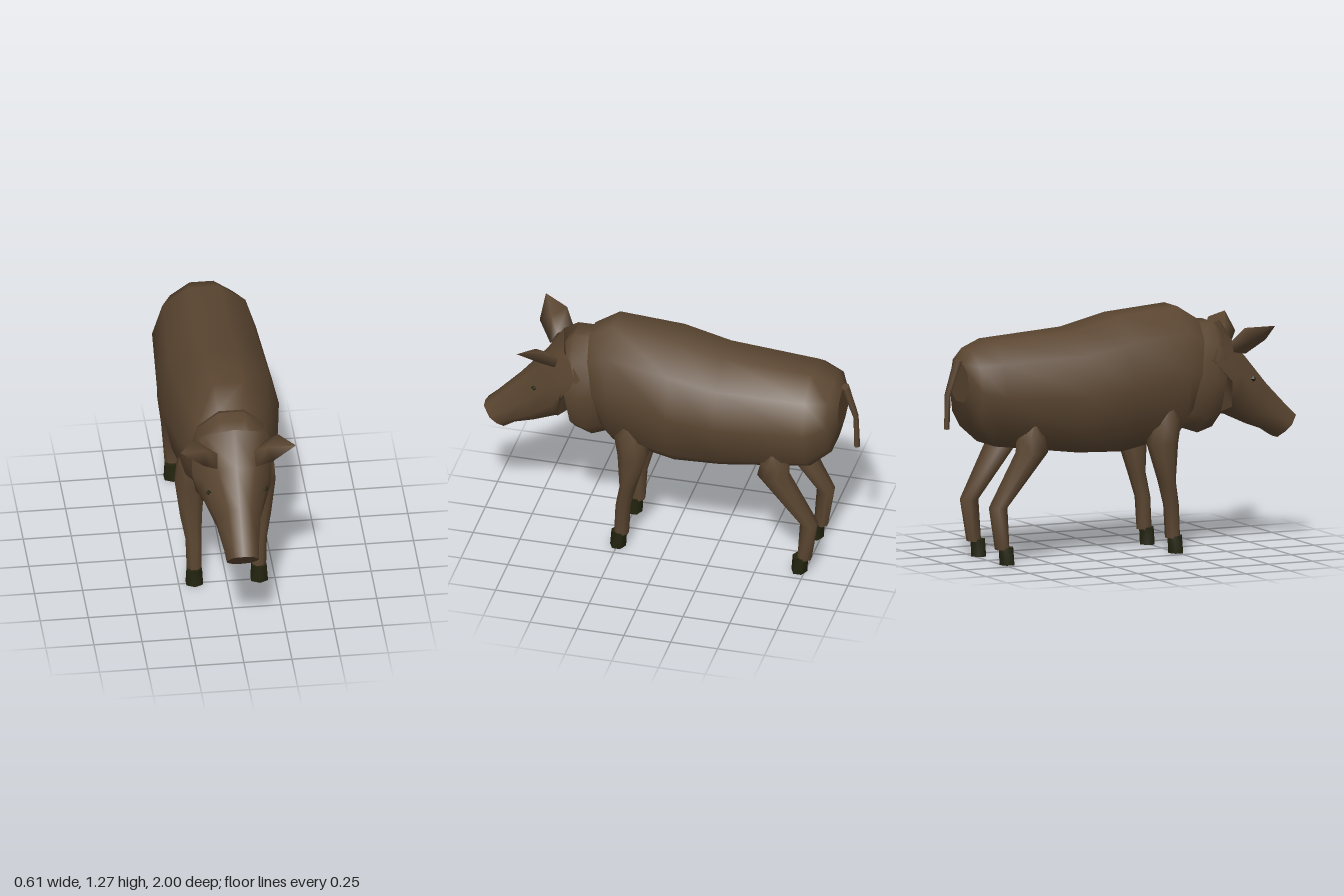
import * as THREE from 'three';

const hide = new THREE.MeshStandardMaterial({ color: 0x5b4631 });
hide.name = 'brown hide';
const horn = new THREE.MeshStandardMaterial({ color: 0x23230f });
horn.name = 'dark horn';

// Skins a list of equal-length rings; end caps get their own vertices so the rims stay sharp.
function loft(name, rings, material) {
  const n = rings[0].length;
  const pos = rings.flat(2);
  let idx = [];
  for (let r = 0; r < rings.length - 1; r++) {
    for (let i = 0; i < n; i++) {
      const a = r * n + i, b = r * n + (i + 1) % n;
      idx.push(a, b, b + n, a, b + n, a + n);
    }
  }
  for (const end of [0, rings.length - 1]) {
    const ring = rings[end], base = pos.length / 3;
    const mid = [0, 1, 2].map(k => ring.reduce((s, p) => s + p[k], 0) / n);
    pos.push(...ring.flat(), ...mid);
    for (let i = 0; i < n; i++) {
      const a = base + i, b = base + (i + 1) % n;
      idx.push(...(end === 0 ? [b, a, base + n] : [a, b, base + n]));
    }
  }
  // Turn the faces outward if the rings were wound the other way.
  const P = i => new THREE.Vector3().fromArray(pos, i * 3);
  let volume = 0;
  for (let i = 0; i < idx.length; i += 3) {
    volume += P(idx[i]).dot(P(idx[i + 1]).cross(P(idx[i + 2])));
  }
  if (volume < 0) idx = idx.reverse();
  const geo = new THREE.BufferGeometry();
  geo.setAttribute('position', new THREE.Float32BufferAttribute(pos, 3));
  geo.setIndex(idx);
  geo.computeVertexNormals();
  const mesh = new THREE.Mesh(geo, material);
  mesh.name = name;
  return mesh;
}

// Completes a half ring (points with x >= 0) by mirroring it.
const mirrorRing = half => [
  ...half,
  ...half.filter(p => p[0] > 0).reverse().map(([x, y, z]) => [-x, y, z]),
];

// Ten-sided trunk section between a top and a bottom point.
const section = ([topY, topZ, botY, botZ, w]) => mirrorRing(
  [[0.3, 1], [0.8, 0.82], [1, 0.5], [0.83, 0.16], [0.4, 0]].map(([x, t]) =>
    [x * w, botY + (topY - botY) * t, botZ + (topZ - botZ) * t]));

// Level limb section from its extents: y, front z, back z, inner x, outer x.
const limbRing = (side, sides) => ([y, zf, zb, xi, xo]) =>
  Array.from({ length: sides }, (_, i) => {
    const a = (i + 0.5) / sides * Math.PI * 2;
    return [side * ((xi + xo) / 2 + (xo - xi) / 2 * Math.cos(a) / Math.cos(Math.PI / sides)),
      y, (zf + zb) / 2 + (zf - zb) / 2 * Math.sin(a)];
  });

export function createModel() {
  const model = new THREE.Group();
  model.name = 'wildPig';

  // Trunk
  model.add(loft('body', [
    [1.19, 0.43, 0.66, 0.33, 0.215],
    [1.27, 0.30, 0.60, 0.29, 0.26],
    [1.24, -0.04, 0.54, -0.04, 0.305],
    [1.18, -0.29, 0.55, -0.29, 0.30],
    [1.15, -0.76, 0.61, -0.76, 0.27],
    [1.11, -0.87, 0.70, -0.87, 0.205],
    [1.04, -0.91, 0.84, -0.91, 0.11],
  ].map(section), hide));

  // Neck
  model.add(loft('neck', [
    [1.18, 0.36, 0.64, 0.32, 0.21],
    [1.175, 0.51, 0.605, 0.41, 0.22],
    [1.12, 0.56, 0.63, 0.50, 0.19],
  ].map(section), hide));

  // Head, from the ruff to the flat snout
  model.add(loft('head', [
    [[0, 1.17, 0.58], [0.15, 1.12, 0.54], [0.205, 1.0, 0.44], [0.215, 0.88, 0.55], [0.17, 0.74, 0.57], [0, 0.68, 0.55]],
    [[0, 1.0, 0.69], [0.1, 0.99, 0.675], [0.17, 0.9, 0.63], [0.18, 0.8, 0.6], [0.12, 0.71, 0.59], [0, 0.68, 0.6]],
    [[0, 0.84, 0.83], [0.06, 0.83, 0.82], [0.115, 0.75, 0.77], [0.11, 0.68, 0.73], [0.07, 0.63, 0.72], [0, 0.62, 0.73]],
    [[0, 0.71, 0.95], [0.055, 0.7, 0.945], [0.09, 0.65, 0.9], [0.085, 0.61, 0.86], [0.05, 0.585, 0.83], [0, 0.583, 0.83]],
    [[0, 0.66, 1.0], [0.05, 0.655, 0.995], [0.085, 0.61, 0.955], [0.075, 0.575, 0.92], [0.045, 0.545, 0.89], [0, 0.543, 0.89]],
  ].map(mirrorRing), hide));

  for (const side of [1, -1]) {
    const label = side > 0 ? 'left' : 'right';

    // Ear: narrow root, broad middle, pointed tip
    const tip = [0.3, 1.168, 0.755];
    model.add(loft(label + 'Ear', [
      [[0.1, 1.0, 0.68], [0.095, 1.07, 0.64], [0.16, 1.08, 0.57], [0.15, 1.02, 0.59]],
      [[0.18, 1.08, 0.757], [0.16, 1.125, 0.69], [0.22, 1.155, 0.62], [0.2, 1.08, 0.67]],
      [tip, tip, tip, tip],
    ].map(ring => ring.map(([x, y, z]) => [side * x, y, z])), hide));

    // Eye
    const eye = new THREE.Mesh(new THREE.OctahedronGeometry(0.016), horn);
    eye.name = label + 'Eye';
    eye.position.set(side * 0.15, 0.875, 0.703);
    model.add(eye);

    // Legs and hooves
    const legs = {
      Front: [
        [0.79, 0.20, 0.19, 0.22, 0.235],
        [0.70, 0.265, 0.10, 0.13, 0.25],
        [0.58, 0.245, 0.08, 0.11, 0.26],
        [0.38, 0.235, 0.145, 0.125, 0.235],
        [0.25, 0.26, 0.18, 0.13, 0.21],
        [0.08, 0.268, 0.19, 0.132, 0.205],
      ],
      Rear: [
        [0.735, -0.58, -0.60, 0.22, 0.24],
        [0.66, -0.52, -0.67, 0.13, 0.26],
        [0.58, -0.50, -0.67, 0.11, 0.26],
        [0.30, -0.725, -0.82, 0.125, 0.22],
        [0.08, -0.71, -0.785, 0.132, 0.205],
      ],
    };
    for (const [end, rows] of Object.entries(legs)) {
      model.add(loft(label + end + 'Leg', rows.map(limbRing(side, 8)), hide));
      const z = end === 'Front' ? 0.245 : -0.722;
      model.add(loft(label + end + 'Hoof', [
        [0.09, z + 0.038, z - 0.045, 0.13, 0.206],
        [0, z + 0.045, z - 0.04, 0.125, 0.212],
      ].map(limbRing(side, 6)), horn));
    }
  }

  // Tail
  model.add(loft('tail', [
    [1.055, -0.90, -0.94, -0.03, 0.03],
    [0.88, -0.965, -0.992, -0.022, 0.022],
    [0.70, -0.967, -1.0, -0.015, 0.015],
  ].map(limbRing(1, 6)), hide));

  return model;
}
